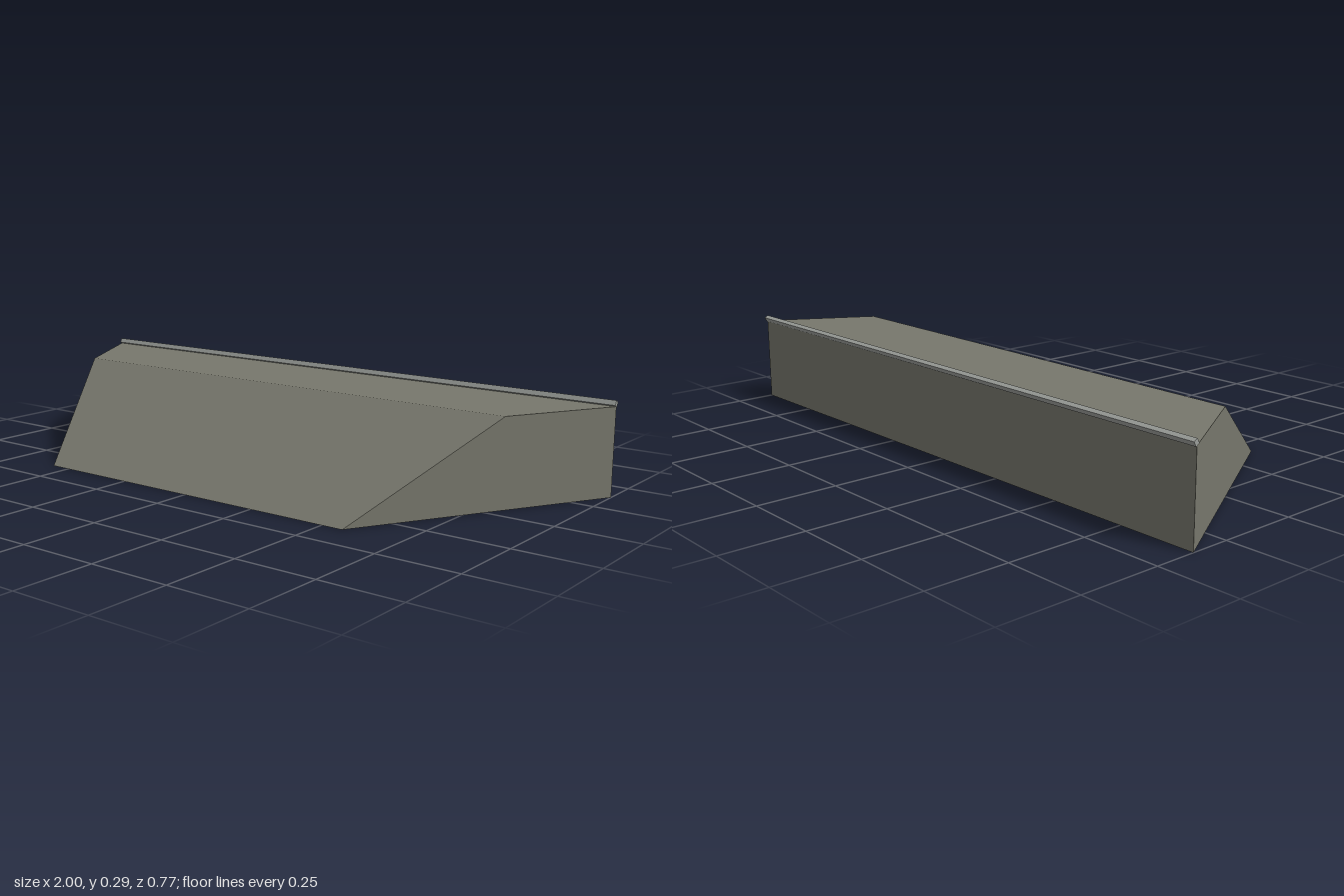
import * as THREE from 'three';

const BACK = -0.373, FRONT = 0.382, HEIGHT = 0.272;

export function createModel() {
  const group = new THREE.Group();
  group.name = 'ramp';

  const concrete = new THREE.MeshStandardMaterial({ color: 0x77776c });
  concrete.name = 'concrete grey';
  const steel = new THREE.MeshStandardMaterial({ color: 0x9c9f9b });
  steel.name = 'steel grey';

  // Ramp body: side profile swept across x, then tapered towards the front
  const profile = new THREE.Shape([
    [BACK, 0], [FRONT, 0], [-0.05, HEIGHT], [BACK, HEIGHT],
  ].map(([z, y]) => new THREE.Vector2(z, y)));
  const bodyGeometry = new THREE.ExtrudeGeometry(profile, { depth: 2, bevelEnabled: false });
  bodyGeometry.translate(0, 0, -1).rotateY(-Math.PI / 2);
  const pos = bodyGeometry.attributes.position;
  for (let i = 0; i < pos.count; i++) {
    const t = (pos.getZ(i) - BACK) / (FRONT - BACK);
    pos.setX(i, pos.getX(i) * THREE.MathUtils.lerp(1, 0.568, t));
  }
  bodyGeometry.computeVertexNormals();
  const body = new THREE.Mesh(bodyGeometry, concrete);
  body.name = 'rampBody';
  group.add(body);

  // Thin tilted rail along the top back edge
  const rail = new THREE.Mesh(new THREE.BoxGeometry(2, 0.016, 0.014), steel);
  rail.name = 'edgeRail';
  rail.position.set(0, 0.28, -0.374);
  rail.rotation.x = -Math.PI / 6;
  group.add(rail);

  return group;
}
